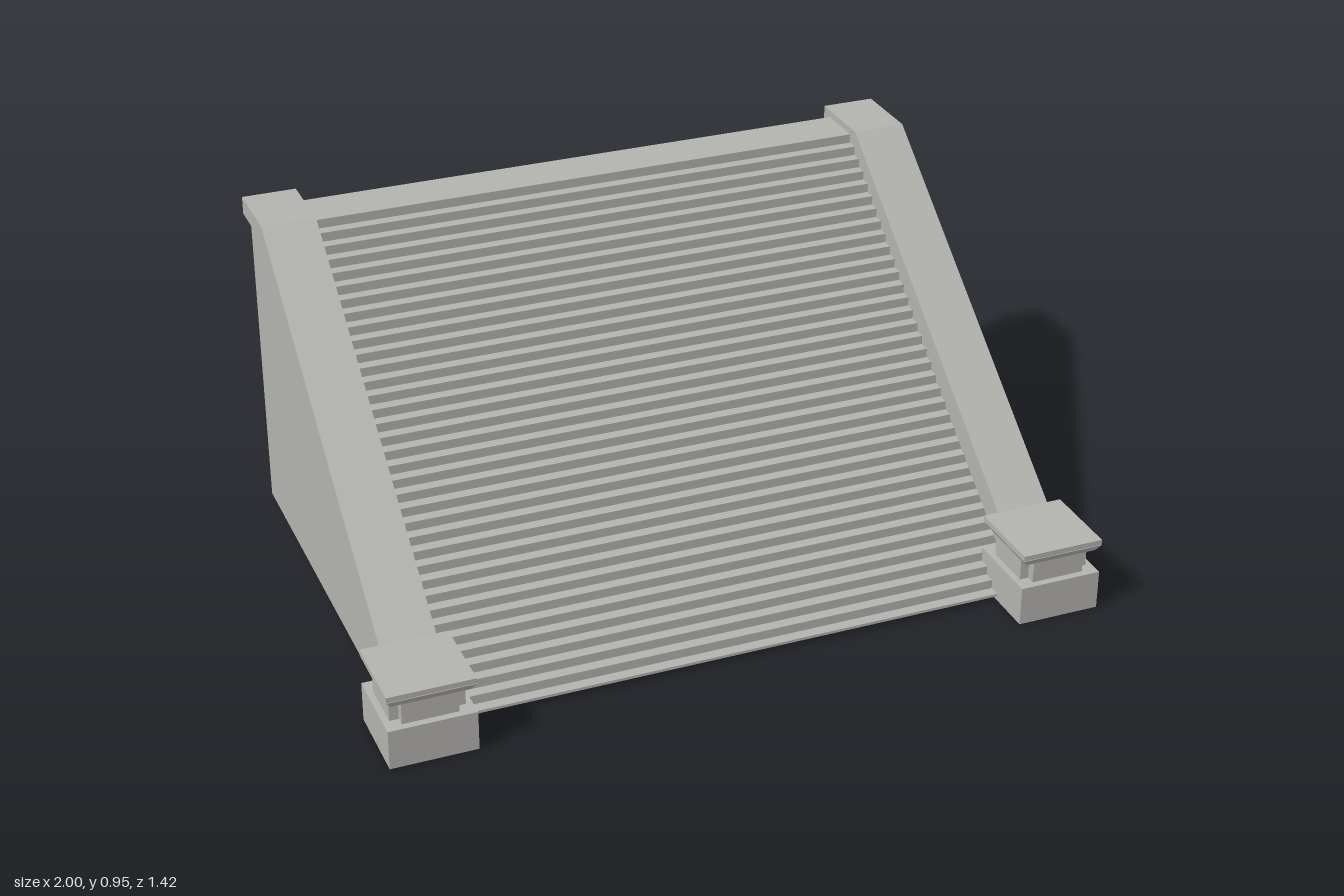
import * as THREE from 'three';

const stone = new THREE.MeshStandardMaterial({ color: 0xb3b2af });
stone.name = 'stone';
const stoneSheet = new THREE.MeshStandardMaterial({ color: 0xb3b2af, side: THREE.DoubleSide });
stoneSheet.name = 'stone sheet';

const MID = 0.01; // the flight sits a touch off centre

function add(group, name, geometry, material = stone) {
  const mesh = new THREE.Mesh(geometry, material);
  mesh.name = name;
  group.add(mesh);
  return mesh;
}

function box(group, name, w, h, d, x, y, z) {
  add(group, name, new THREE.BoxGeometry(w, h, d)).position.set(x, y + h / 2, z);
}

// Side profile given as [z, y] points
function profile(points) {
  return new THREE.Shape(points.map(([z, y]) => new THREE.Vector2(-z, y)));
}

// Extrude a side profile along x, centred on the given x
function slab(points, width, x) {
  const g = new THREE.ExtrudeGeometry(profile(points), { depth: width, bevelEnabled: false });
  g.translate(0, 0, -width / 2);
  g.rotateY(Math.PI / 2);
  return g.translate(x, 0, 0);
}

// Square newel post: plinth, notched neck and flared cap
function newel(x) {
  const post = new THREE.Group();
  post.name = 'newelPost';
  box(post, 'plinth', 0.235, 0.112, 0.23, 0, 0, 0);
  box(post, 'neckAcross', 0.2, 0.07, 0.14, 0, 0.112, 0);
  box(post, 'neckAlong', 0.15, 0.07, 0.19, 0, 0.112, 0);
  const flare = new THREE.CylinderGeometry(0.117 * Math.SQRT2, 0.105 * Math.SQRT2, 0.02, 4, 1).toNonIndexed();
  flare.rotateY(Math.PI / 4);
  flare.computeVertexNormals();
  add(post, 'capFlare', flare).position.y = 0.188;
  box(post, 'capTop', 0.235, 0.016, 0.23, 0, 0.197, 0);
  post.position.set(x, 0, 0.595);
  return post;
}

export function createModel() {
  const model = new THREE.Group();
  model.name = 'grandStaircase';

  // Flight of steps with a smooth sloping underside
  const treads = 35, zFront = 0.58, zTop = -0.53, zBack = -0.67;
  const run = (zFront - zTop) / treads, yFirst = 0.02, rise = (0.93 - yFirst) / treads;
  const steps = [[zFront, 0.012]];
  for (let i = 0; i <= treads; i++) {
    const z = zFront - i * run, y = yFirst + i * rise;
    steps.push([z, y], [i < treads ? z - run : zBack, y]);
  }
  steps.push([zBack, 0.86], [-0.56, 0.86], [0.53, 0.04], [0.53, 0.012]);
  add(model, 'steps', slab(steps.reverse(), 1.88, MID));

  // Thin side walls and back wall, open underneath
  const side = [[zBack, 0.025], [zBack, 0.9], [-0.56, 0.9], [0, 0.47], [0.48, 0.09], [0.56, 0.025]];
  for (const s of [-1, 1]) {
    const wall = new THREE.ShapeGeometry(profile(side));
    wall.rotateY(Math.PI / 2);
    wall.translate(MID + s * 0.945, 0, 0);
    add(model, s > 0 ? 'leftWall' : 'rightWall', wall, stoneSheet);
  }
  const back = new THREE.PlaneGeometry(1.89, 0.89);
  back.rotateY(Math.PI);
  add(model, 'backWall', back, stoneSheet).position.set(MID, 0.47, zBack - 0.002);

  // Sloping copings that level out at the top, and newel posts at the foot
  const coping = [[0.49, 0.1], [-0.56, 0.9], [-0.71, 0.9], [-0.71, 0.95], [-0.5, 0.95], [0.49, 0.19]].reverse();
  for (const s of [-1, 1]) {
    add(model, s > 0 ? 'leftCoping' : 'rightCoping', slab(coping, 0.152, MID + s * 0.88));
    model.add(newel(s * 0.8825));
  }
  return model;
}
